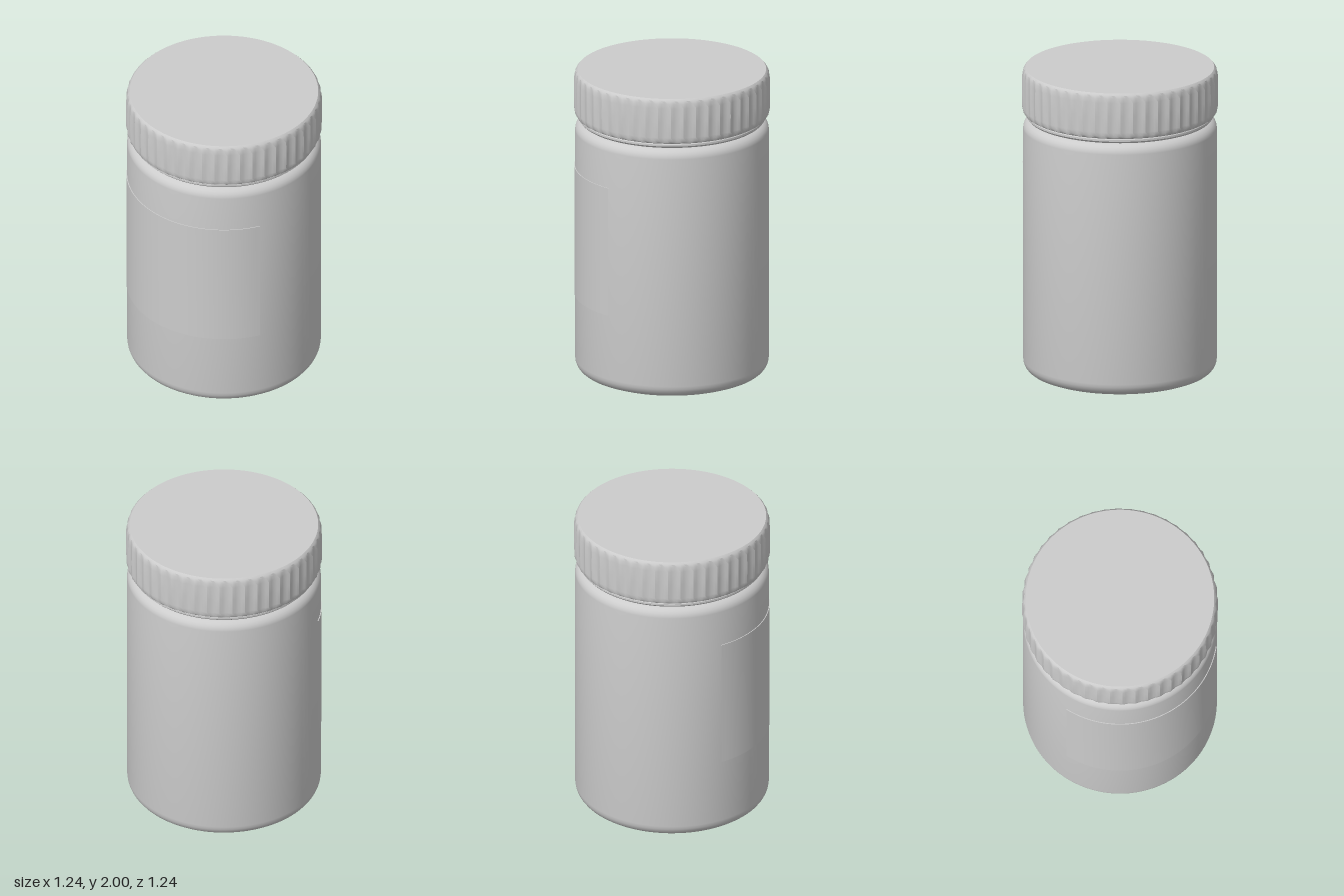
import * as THREE from 'three';
import { toCreasedNormals } from 'three/addons/utils/BufferGeometryUtils.js';

const grey = new THREE.MeshStandardMaterial({ color: 0xcccccc });
grey.name = 'plain grey';

// Turned part from [radius, height] pairs, bottom to top
function turned(profile, segments) {
  return new THREE.LatheGeometry(profile.map(([r, y]) => new THREE.Vector2(r, y)), segments);
}

// Quarter-round corner between two heights, as profile points
function corner(cx, cy, rx, ry, from, to, steps = 5) {
  return Array.from({ length: steps + 1 }, (_, i) => {
    const a = from + (to - from) * i / steps;
    return [cx + rx * Math.cos(a), cy + ry * Math.sin(a)];
  });
}

export function createModel() {
  const group = new THREE.Group();
  group.name = 'jar';
  const add = (name, geometry) => {
    const mesh = new THREE.Mesh(toCreasedNormals(geometry, 0.6), grey);
    mesh.name = name;
    group.add(mesh);
  };

  // Body with rounded foot and shoulder, closed underneath
  add('body', turned([
    [0, 0], [0.535, 0],
    ...corner(0.535, 0.085, 0.077, 0.08, -Math.PI / 2 + 0.25, 0),
    [0.612, 1.6],
    ...corner(0.542, 1.6, 0.07, 0.065, 0.2, Math.PI / 2),
    [0.52, 1.667], [0.52, 1.7],
  ], 96));

  // Narrow band below the lid
  add('sealBand', turned([
    [0.51, 1.668], [0.578, 1.668], [0.589, 1.68], [0.589, 1.692], [0.58, 1.705],
  ], 96));

  // Lid: flutes fade out toward both rims
  const flutes = 48;
  const lid = turned([
    [0.5, 1.7], [0.592, 1.7], [0.605, 1.707], [0.615, 1.722], [0.619, 1.745],
    [0.62, 1.85], [0.619, 1.94], [0.615, 1.97], [0.607, 1.988], [0.595, 2], [0, 2],
  ], flutes * 4);
  const p = lid.attributes.position;
  for (let i = 0; i < p.count; i++) {
    const x = p.getX(i), y = p.getY(i), z = p.getZ(i);
    const fade = THREE.MathUtils.smoothstep(y, 1.7, 1.74) * (1 - THREE.MathUtils.smoothstep(y, 1.95, 2));
    const wave = 0.5 - 0.5 * Math.cos(flutes * Math.atan2(z, x));
    const k = 1 - 0.02 * fade * wave;
    p.setXYZ(i, x * k, y, z * k);
  }
  add('lid', lid);

  // Thin label wrapped around the front
  const half = 1.0;
  const label = new THREE.LatheGeometry(
    [[0.611, 0.51], [0.617, 0.51], [0.617, 1.36], [0.611, 1.36]].map(([r, y]) => new THREE.Vector2(r, y)),
    40, -half, half * 2);
  add('label', label);

  return group;
}
